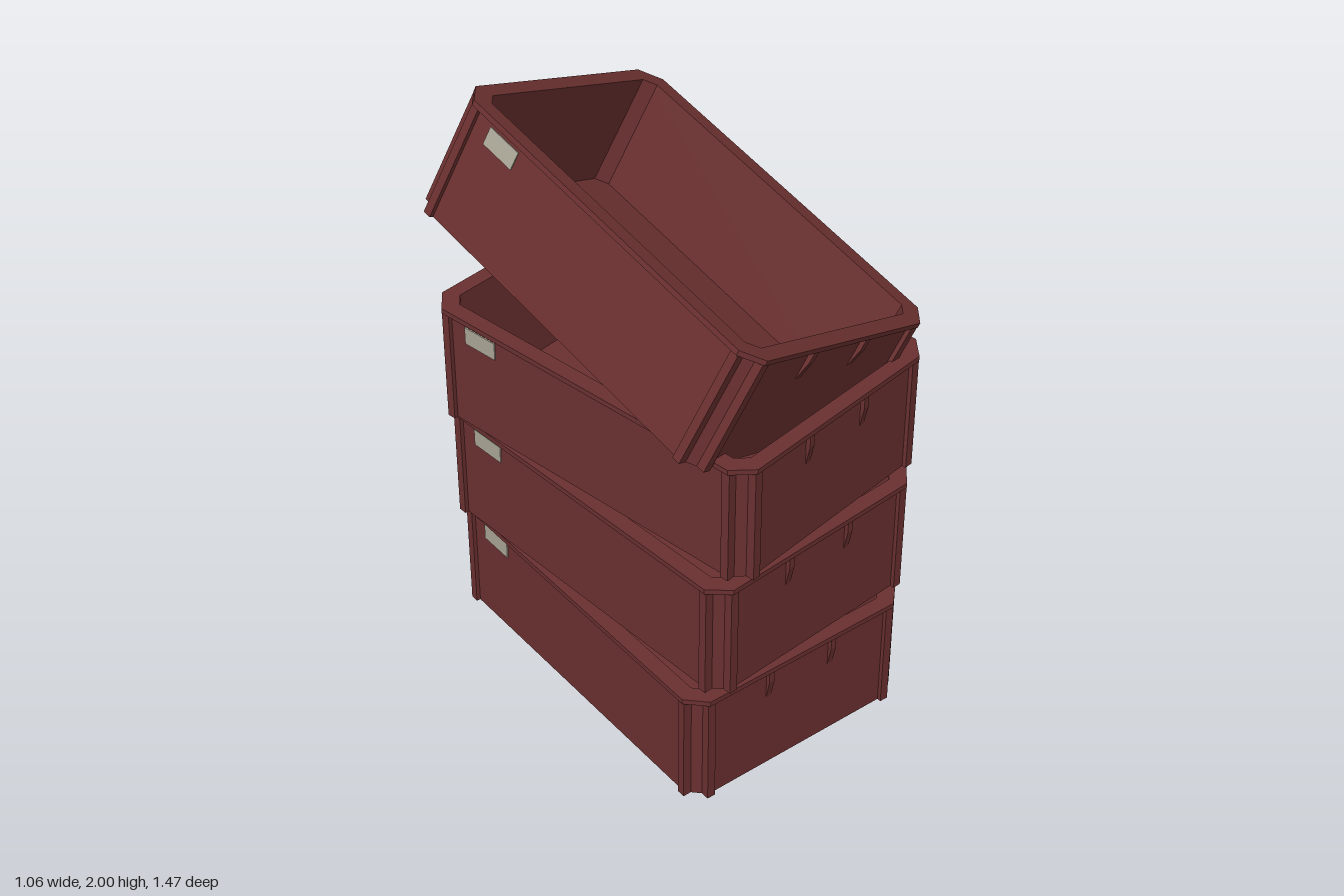
import * as THREE from 'three';

const W = 0.432, D = 0.652, H = 0.418;      // outer half width, half depth and height
const WALL_X = 0.414, WALL_Z = 0.634;       // recessed wall faces
const IN_X = 0.378, IN_Z = 0.6;             // opening

const plastic = new THREE.MeshStandardMaterial({ color: 0x6b3030 });
plastic.name = 'maroon plastic';
const paper = new THREE.MeshStandardMaterial({ color: 0xaaa697 });
paper.name = 'label grey';

// Corners of a rectangle with cut corners
function octagon(x, z, c) {
  return [[x, c - z], [x, z - c], [x - c, z], [c - x, z], [-x, z - c], [-x, c - z], [c - x, -z], [x - c, -z]]
    .map(([a, b]) => new THREE.Vector2(a, b));
}

// Upright slab or ring from y0 to y1
function slab(outer, inner, y0, y1) {
  const shape = new THREE.Shape(outer);
  if (inner) shape.holes.push(new THREE.Path(inner));
  const geo = new THREE.ExtrudeGeometry(shape, { depth: y1 - y0, bevelEnabled: false });
  return geo.rotateX(-Math.PI / 2).translate(0, y0, 0);
}

// Box given by its limits
function block(x0, x1, y0, y1, z0, z1) {
  return new THREE.BoxGeometry(x1 - x0, y1 - y0, z1 - z0)
    .translate((x0 + x1) / 2, (y0 + y1) / 2, (z0 + z1) / 2);
}

// Wedge under the rim, thinning downwards
function ribGeometry() {
  const profile = new THREE.Shape([
    new THREE.Vector2(-0.005, 0.29), new THREE.Vector2(0.001, 0.29),
    new THREE.Vector2(0.015, 0.36), new THREE.Vector2(0.015, 0.402), new THREE.Vector2(-0.005, 0.402),
  ]);
  return new THREE.ExtrudeGeometry(profile, { depth: 0.02, bevelEnabled: false })
    .translate(0, 0, -0.01).rotateY(-Math.PI / 2).translate(0, 0, WALL_Z);
}

const opening = octagon(IN_X, IN_Z, 0.035);
const parts = {
  walls: slab(octagon(WALL_X, WALL_Z, 0.055), opening, 0, 0.402),
  floor: slab(octagon(IN_X + 0.01, IN_Z + 0.01, 0.035), null, 0.006, 0.025),
  rim: slab(octagon(W, D, 0.062), opening, 0.4, H),
  endPost: block(0.345, 0.374, 0, 0.402, WALL_Z - 0.02, D - 0.004),
  sidePost: block(WALL_X - 0.02, W - 0.004, 0, 0.402, 0.565, 0.594),
  rib: ribGeometry(),
  leftLabel: block(WALL_X - 0.002, WALL_X + 0.004, 0.012, 0.072, -0.5, -0.315),
  rightLabel: block(-WALL_X - 0.004, -WALL_X + 0.002, 0.318, 0.38, -0.505, -0.375),
  backLabel: block(-0.335, -0.22, 0.012, 0.105, -WALL_Z - 0.004, -WALL_Z + 0.002),
};

function add(parent, name, material = plastic) {
  const mesh = new THREE.Mesh(parts[name], material);
  mesh.name = name;
  parent.add(mesh);
  return mesh;
}

function makeCrate(name) {
  const crate = new THREE.Group();
  crate.name = name;
  for (const part of ['walls', 'floor', 'rim']) add(crate, part);

  // Corner posts and end ribs, repeated by half turns and shifts
  for (const turn of [0, Math.PI]) {
    const half = new THREE.Group();
    half.name = turn ? 'backDetails' : 'frontDetails';
    half.rotation.y = turn;
    add(half, 'endPost');
    add(half, 'endPost').position.x = -0.719;
    add(half, 'sidePost');
    add(half, 'sidePost').position.z = -1.159;
    for (const x of [-0.125, 0.125]) add(half, 'rib').position.x = x;
    crate.add(half);
  }

  for (const label of ['leftLabel', 'rightLabel', 'backLabel']) add(crate, label, paper);
  return crate;
}

export function createModel() {
  const model = new THREE.Group();
  model.name = 'crateStack';

  // Three level crates, each turned a little more
  ['bottomCrate', 'secondCrate', 'thirdCrate'].forEach((name, i) => {
    const crate = makeCrate(name);
    crate.position.set(0, i * 0.442, 0.028);
    crate.rotation.y = THREE.MathUtils.degToRad(5 * i);
    model.add(crate);
  });

  // Tipped crate resting in the top one
  const tipped = makeCrate('tippedCrate');
  tipped.position.set(-0.076, 1.331, -0.048);
  tipped.rotation.set(0.255, 0.08, -0.36);
  model.add(tipped);
  return model;
}
